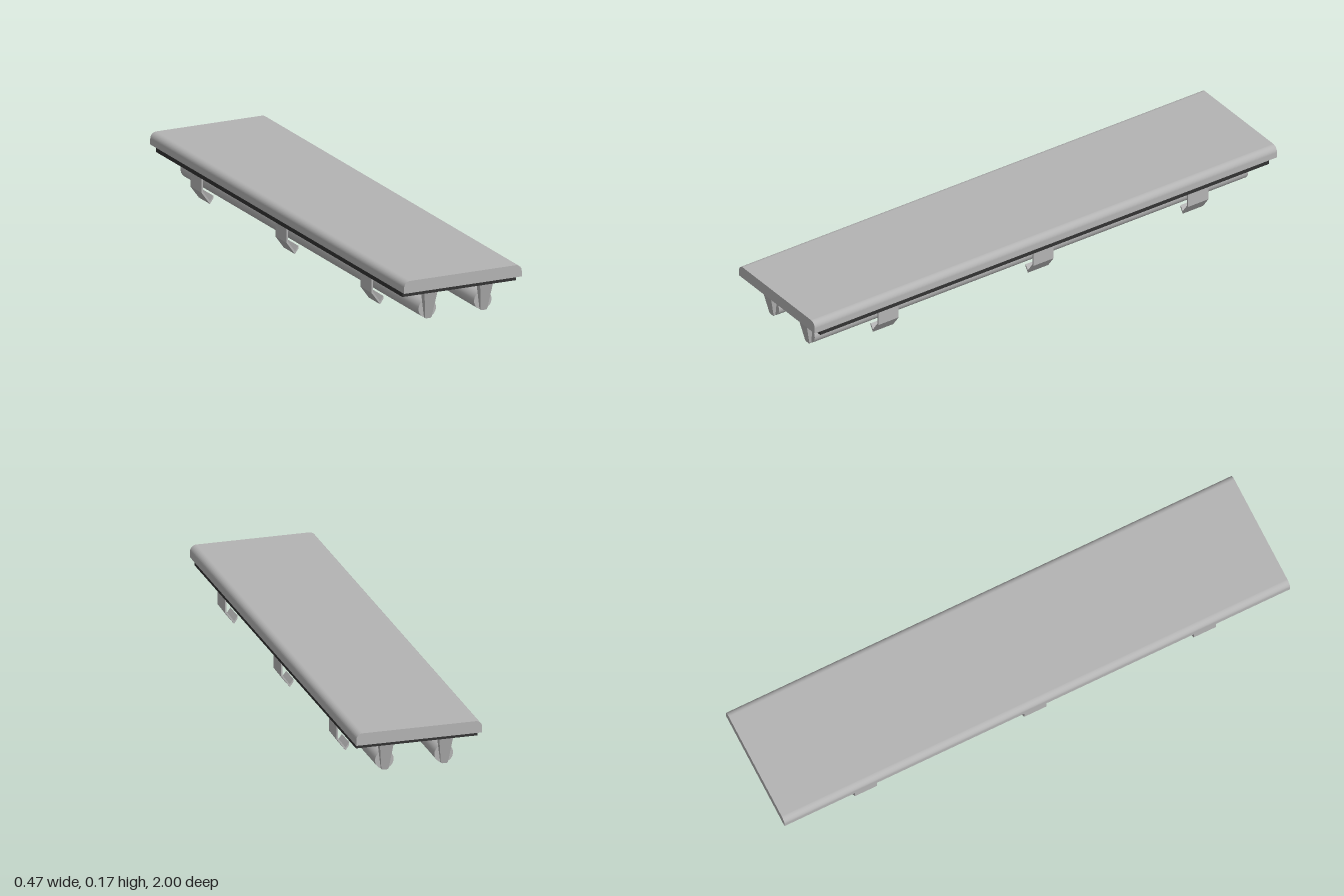
import * as THREE from 'three';

const grey = new THREE.MeshStandardMaterial({ color: 0xb3b3b3 });
grey.name = 'light grey';
const dark = new THREE.MeshStandardMaterial({ color: 0x333333 });
dark.name = 'dark rubber';

function add(parent, name, geometry, material, x = 0, y = 0, z = 0) {
  const mesh = new THREE.Mesh(geometry, material);
  mesh.name = name;
  mesh.position.set(x, y, z);
  parent.add(mesh);
  return mesh;
}

// Extrusion along z, centred on z = 0
function extrudeZ(shape, depth) {
  return new THREE.ExtrudeGeometry(shape, { depth, bevelEnabled: false, curveSegments: 10 })
    .translate(0, 0, -depth / 2);
}

function polygon(points) {
  return new THREE.Shape(points.map(([x, y]) => new THREE.Vector2(x, y)));
}

export function createModel() {
  const model = new THREE.Group();
  model.name = 'tubeLightFixture';

  // Housing with rounded long upper edges and flat ends
  const w = 0.233, r = 0.024, top = 0.171, base = 0.126;
  const profile = new THREE.Shape();
  profile.moveTo(-w, base);
  profile.lineTo(w, base);
  profile.lineTo(w, top - r);
  profile.absarc(w - r, top - r, r, 0, Math.PI / 2);
  profile.lineTo(-w + r, top);
  profile.absarc(-w + r, top - r, r, Math.PI / 2, Math.PI);
  profile.closePath();
  add(model, 'housing', extrudeZ(profile, 2), grey);

  // Dark gasket frame around the reflector panel
  const frame = polygon([[-0.225, -0.97], [0.225, -0.97], [0.225, 0.97], [-0.225, 0.97]]);
  frame.holes.push(polygon([[-0.21, -0.955], [-0.21, 0.955], [0.21, 0.955], [0.21, -0.955]]));
  const gasket = new THREE.ExtrudeGeometry(frame, { depth: 0.021, bevelEnabled: false });
  gasket.rotateX(-Math.PI / 2);
  add(model, 'gasket', gasket, dark, 0, 0.105, 0);
  add(model, 'reflectorPanel', new THREE.BoxGeometry(0.42, 0.02, 1.91), grey, 0, 0.1155, 0);

  // Tapered lamp holder, leaning inward toward its rounded foot
  const holderShape = polygon([[-0.0255, 0.106], [-0.0135, 0.009]]);
  holderShape.quadraticCurveTo(-0.012, 0.004, -0.007, 0.004);
  holderShape.lineTo(0.007, 0.004);
  holderShape.quadraticCurveTo(0.012, 0.004, 0.0135, 0.009);
  holderShape.lineTo(0.0255, 0.106);
  holderShape.closePath();
  const holder = extrudeZ(holderShape, 0.03);
  const p = holder.attributes.position;
  for (let i = 0; i < p.count; i++) {
    if (p.getZ(i) > 0) p.setZ(i, 0.015 - 0.023 * (0.106 - p.getY(i)) / 0.102);
  }
  holder.computeVertexNormals();

  // Two lamp tubes with a holder at each end
  for (const x of [-0.11, 0.11]) {
    const tube = new THREE.CylinderGeometry(0.0345, 0.0345, 1.875, 32).rotateX(Math.PI / 2);
    add(model, 'lampTube', tube, grey, x, 0.039, 0);
    for (const end of [-1, 1]) {
      const mesh = add(model, 'lampHolder', holder, grey, x, 0, end * 0.953);
      if (end < 0) mesh.rotation.y = Math.PI;
    }
  }

  // Bent spring clips, three along each side
  const clip = extrudeZ(polygon([
    [0.218, 0.106], [0.212, 0.106], [0.212, 0.051], [0.1845, 0.0125],
    [0.171, 0.031], [0.171, 0.021], [0.1845, 0.002], [0.218, 0.048],
  ]), 0.088);
  for (const z of [-0.67, 0, 0.67]) {
    for (const side of [-1, 1]) {
      const mesh = add(model, 'springClip', clip, grey, 0, 0, z);
      if (side < 0) mesh.rotation.y = Math.PI;
    }
  }

  // Central fastening posts with cross handles
  const postProfile = [[0, 0.005], [0.014, 0.005], [0.017, 0.008], [0.017, 0.106]]
    .map(([x, y]) => new THREE.Vector2(x, y));
  const post = new THREE.LatheGeometry(postProfile, 24);
  const handle = new THREE.CapsuleGeometry(0.005, 0.117, 4, 12).rotateZ(Math.PI / 2);
  for (const z of [-0.66, 0.66]) {
    add(model, 'fasteningPost', post, grey, 0, 0, z);
    add(model, 'crossHandle', handle, grey, 0, 0.024, z);
  }

  // Small dark studs under the panel
  for (const z of [-0.335, 0.335]) {
    add(model, 'panelStud', new THREE.CylinderGeometry(0.014, 0.014, 0.008, 20), dark, 0, 0.102, z);
  }

  return model;
}
